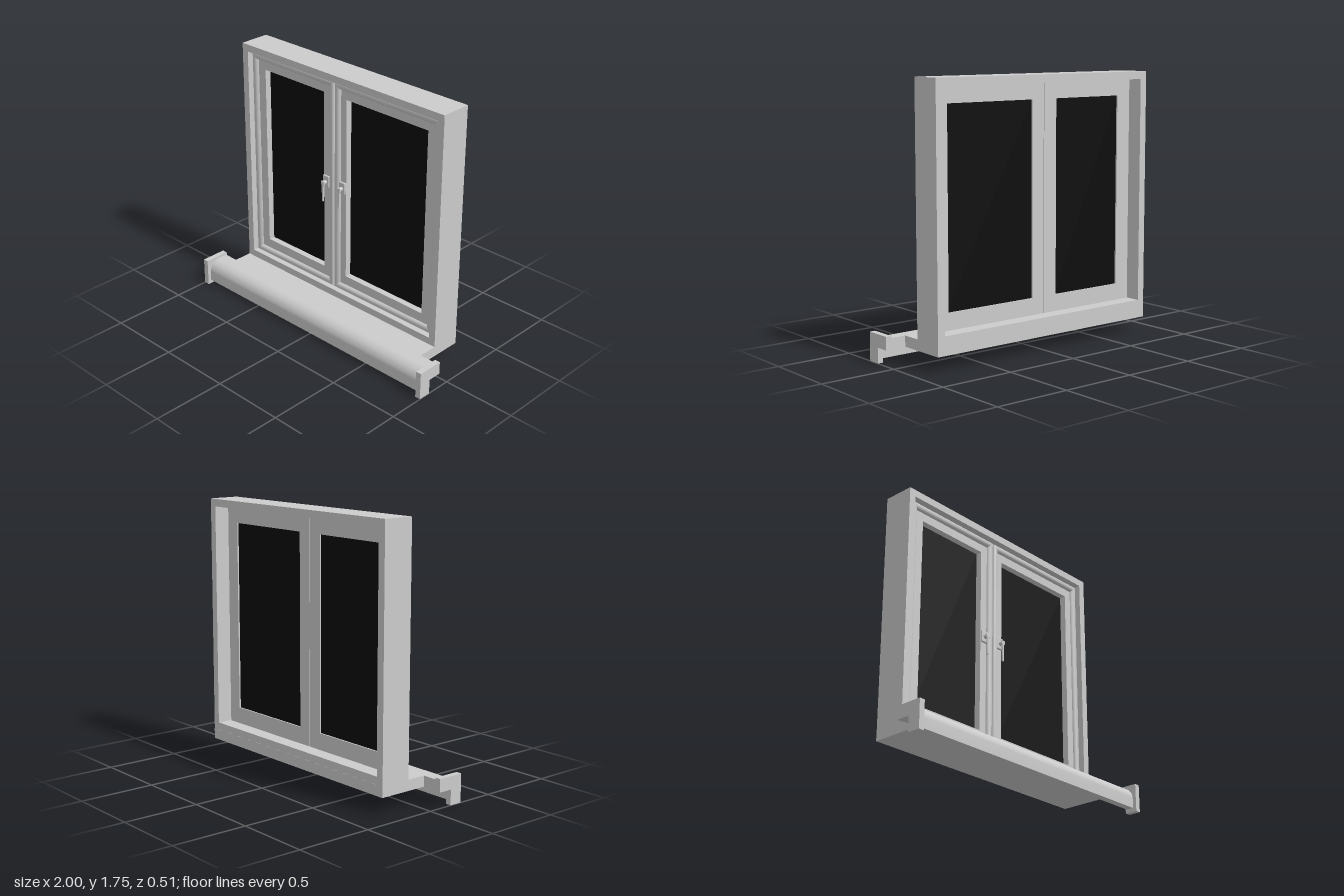
import * as THREE from 'three';
import { toCreasedNormals } from 'three/addons/utils/BufferGeometryUtils.js';
import { RoundedBoxGeometry } from 'three/addons/geometries/RoundedBoxGeometry.js';

const grey = new THREE.MeshStandardMaterial({ color: 0xcccccc });
const black = new THREE.MeshStandardMaterial({ color: 0x0c0c0c });

function add(parent, name, geometry, x = 0, y = 0, z = 0, material = grey) {
  const mesh = new THREE.Mesh(geometry, material);
  mesh.name = name;
  mesh.position.set(x, y, z);
  parent.add(mesh);
  return mesh;
}

// Mitred rectangular ring; profile points are [inset, z], closed,
// running outer back -> outer front -> inner front -> inner back.
function mitredRing(x0, x1, y0, y1, profile) {
  const pos = [];
  const loops = profile.map(([d, z]) => [
    [x0 + d, y0 + d, z], [x1 - d, y0 + d, z], [x1 - d, y1 - d, z], [x0 + d, y1 - d, z],
  ]);
  loops.forEach((loop, i) => {
    const next = loops[(i + 1) % loops.length];
    for (let j = 0; j < 4; j++) {
      const k = (j + 1) % 4;
      pos.push(...loop[j], ...loop[k], ...next[k], ...loop[j], ...next[k], ...next[j]);
    }
  });
  const g = new THREE.BufferGeometry();
  g.setAttribute('position', new THREE.Float32BufferAttribute(pos, 3));
  return toCreasedNormals(g, 0.6);
}

// Extrudes a (z, y) section along x, centred on x = 0
function extrudeAlongX(shape, width) {
  const g = new THREE.ExtrudeGeometry(shape, { depth: width, bevelEnabled: false, curveSegments: 12 });
  g.rotateY(-Math.PI / 2).translate(width / 2, 0, 0);
  return toCreasedNormals(g, 0.5);
}

function makeHandle(x) {
  const handle = new THREE.Group();
  handle.name = 'handle';
  add(handle, 'handlePlate', new RoundedBoxGeometry(0.054, 0.084, 0.016, 3, 0.007), 0, 0.978, -0.084);
  const neck = new THREE.CylinderGeometry(0.012, 0.014, 0.03, 16).rotateX(Math.PI / 2);
  add(handle, 'handleNeck', neck, 0, 0.975, -0.067);
  add(handle, 'handleHub', new RoundedBoxGeometry(0.03, 0.03, 0.014, 3, 0.006), 0, 0.975, -0.053);
  // Lever tapers towards its lower end
  const lever = new RoundedBoxGeometry(0.02, 0.14, 0.013, 3, 0.005);
  const p = lever.attributes.position;
  for (let i = 0; i < p.count; i++) p.setX(i, p.getX(i) * (0.8 + 2.8 * p.getY(i)));
  lever.computeVertexNormals();
  add(handle, 'handleLever', lever, 0, 0.913, -0.053);
  handle.position.x = x;
  return handle;
}

// Sash ring with rounded outer bead, flat face, glazing rebate and pane
function makeSash(name, x0, x1, glassX0, glassX1) {
  const sash = new THREE.Group();
  sash.name = name;
  const y0 = 0.22, y1 = 1.695, bead = 0.046;
  const profile = [[0, -0.155], [0, -0.09]];
  for (let i = 1; i <= 5; i++) {
    const a = (i / 5) * Math.PI / 2;
    profile.push([0.016 * (1 - Math.cos(a)), -0.09 + 0.018 * Math.sin(a)]);
  }
  profile.push([0.03, -0.073], [0.04, -0.08], [bead, -0.09], [bead, -0.1], [bead, -0.155]);
  add(sash, 'sashBead', mitredRing(x0, x1, y0, y1, profile));

  const rect = (path, a, b, c, d) => path.moveTo(a, c).lineTo(b, c).lineTo(b, d).lineTo(a, d).closePath();
  const face = rect(new THREE.Shape(), x0 + bead, x1 - bead, y0 + bead, y1 - bead);
  face.holes.push(rect(new THREE.Path(), glassX0, glassX1, 0.33, 1.592));
  const panel = new THREE.ExtrudeGeometry(face, { depth: 0.063, bevelEnabled: false });
  add(sash, 'sashPanel', panel, 0, 0, -0.155);

  const pane = new THREE.BoxGeometry(glassX1 - glassX0, 1.262, 0.01);
  add(sash, 'glass', pane, (glassX0 + glassX1) / 2, 0.961, -0.14, black);
  return sash;
}

export function createModel() {
  const model = new THREE.Group();
  model.name = 'window';

  // Outer frame with a central stop behind the sashes' edges
  add(model, 'outerFrame', mitredRing(-0.855, 0.855, 0.17, 1.75, [
    [0, -0.256], [0, -0.045], [0.048, -0.045], [0.048, -0.105],
    [0.062, -0.105], [0.062, -0.15], [0.05, -0.15], [0.05, -0.256],
  ]));

  // Sashes and handles
  model.add(makeSash('rightSash', -0.8, -0.057, -0.692, -0.157));
  model.add(makeSash('leftSash', -0.053, 0.8, 0.04, 0.7));
  model.add(makeHandle(-0.13), makeHandle(0.013));

  // Sill slab and rounded nose with hanging lip
  add(model, 'sillSlab', new THREE.BoxGeometry(1.71, 0.07, 0.342), 0, 0.135, -0.086);
  const nose = new THREE.Shape();
  nose.moveTo(0.085, 0.1).lineTo(0.18, 0.1).lineTo(0.18, 0.025).lineTo(0.231, 0.025).lineTo(0.231, 0.09);
  nose.absarc(0.151, 0.09, 0.08, 0, Math.PI / 2, false);
  nose.lineTo(0.085, 0.17).closePath();
  add(model, 'sillNose', extrudeAlongX(nose, 1.93));

  // L-shaped end caps
  const cap = new THREE.Shape();
  cap.moveTo(0.077, 0.1).lineTo(0.17, 0.1).lineTo(0.17, 0).lineTo(0.256, 0);
  cap.lineTo(0.256, 0.185).lineTo(0.077, 0.185).closePath();
  for (const s of [-1, 1]) add(model, 'sillEndCap', extrudeAlongX(cap, 0.038), s * 0.981);

  return model;
}
